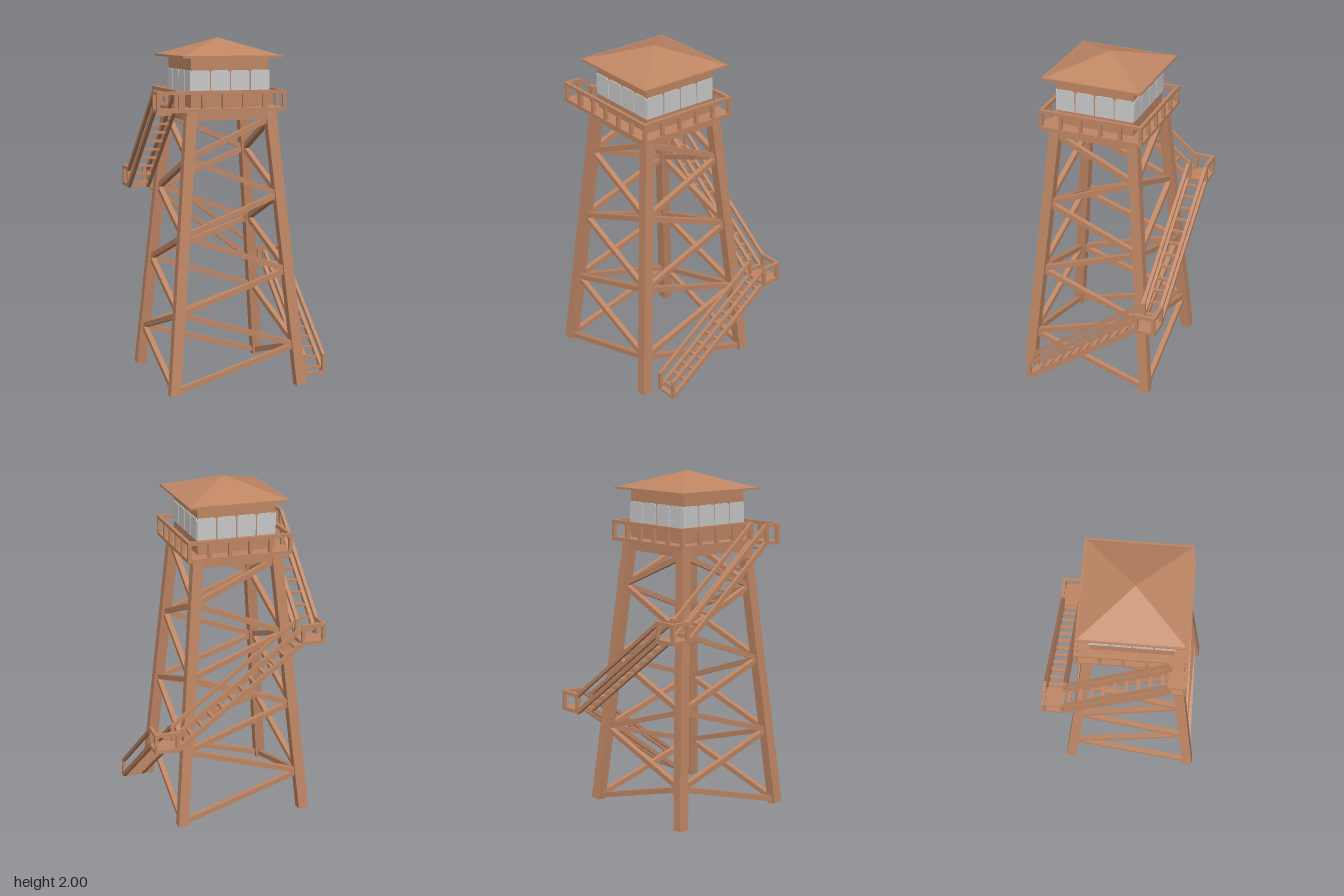
import * as THREE from 'three';

export function createModel() {
  const model = new THREE.Group();
  model.name = 'lookoutTower';
  const wood = new THREE.MeshStandardMaterial({ color: 0xbf8664, flatShading: true });
  wood.name = 'wood';
  const glass = new THREE.MeshStandardMaterial({ color: 0xc9c9c9, flatShading: true });
  glass.name = 'window glass';
  const V = (x, y, z) => new THREE.Vector3(x, y, z);
  const CX = -0.06, CZ = 0.045;

  const group = (name, parent = model) => {
    const g = new THREE.Group();
    g.name = name;
    parent.add(g);
    return g;
  };
  // Box given by its minimum and maximum on each axis
  const box = (parent, name, x0, x1, y0, y1, z0, z1, mat = wood) => {
    const m = new THREE.Mesh(new THREE.BoxGeometry(x1 - x0, y1 - y0, z1 - z0), mat);
    m.position.set((x0 + x1) / 2, (y0 + y1) / 2, (z0 + z1) / 2);
    m.name = name;
    parent.add(m);
    return m;
  };
  // Straight timber between two points
  const beam = (parent, name, a, b, w, h, up = V(0, 1, 0)) => {
    const m = new THREE.Mesh(new THREE.BoxGeometry(w, h, a.distanceTo(b)), wood);
    m.up.copy(up);
    m.position.copy(a).lerp(b, 0.5);
    m.lookAt(b);
    m.name = name;
    parent.add(m);
  };

  // Four legs leaning inwards
  const frame = group('frame');
  const corners = [[-1, 1], [1, 1], [1, -1], [-1, -1]];
  const legPoint = ([sx, sz], y) => {
    const h = 0.38 - 0.145 * y / 1.59;
    return V(CX + sx * h, y, CZ + sz * h);
  };
  for (const c of corners) beam(frame, 'leg', legPoint(c, 0.003), legPoint(c, 1.588), 0.06, 0.06, V(0, 0, 1));

  // Zigzag braces: neighbouring legs alternate between even and odd nodes
  corners.forEach((c, i) => {
    const next = corners[(i + 1) % 4];
    for (let k = 0; k < 7; k++) {
      const y0 = 0.02 + k * 0.218, y1 = y0 + 0.218;
      const cIsLow = (k + i) % 2 === 0;
      beam(frame, 'brace', legPoint(cIsLow ? c : next, y0), legPoint(cIsLow ? next : c, y1), 0.03, 0.03);
    }
  });
  // Beams under the deck
  for (const s of [-1, 1]) {
    const x = CX + s * 0.236, z = CZ + s * 0.236;
    box(frame, 'deckBeam', CX - 0.265, CX + 0.265, 1.54, 1.59, z - 0.028, z + 0.028);
    box(frame, 'deckBeam', x - 0.028, x + 0.028, 1.54, 1.59, CZ - 0.208, CZ + 0.208);
  }

  // Railing with posts standing on height y
  const railing = (parent, x0, z0, x1, z1, y, bays) => {
    const a = V(x0, y + 0.09, z0), b = V(x1, y + 0.09, z1), t = 0.01;
    box(parent, 'handrail', Math.min(x0, x1) - t, Math.max(x0, x1) + t, y + 0.08, y + 0.1,
      Math.min(z0, z1) - t, Math.max(z0, z1) + t);
    for (let i = 0; i <= bays; i++) {
      const p = a.clone().lerp(b, i / bays);
      box(parent, 'railPost', p.x - t, p.x + t, y, y + 0.08, p.z - t, p.z + t);
    }
  };

  // Deck around the cabin
  const deck = group('deck');
  const L = -0.37, R = 0.25, F = 0.355, B = -0.265, e = 0.01;
  box(deck, 'deckFloor', L, R, 1.59, 1.61, B, F);
  railing(deck, L + e, F - e, R - e, F - e, 1.61, 5);
  railing(deck, R - e, F - e, R - e, B + e, 1.61, 5);
  railing(deck, R - e, B + e, L + e, B + e, 1.61, 5);
  railing(deck, L + e, B + e, L + e, 0.26, 1.61, 4);

  // Landings with rails on their two outer sides
  const landing = (x0, x1, z0, z1, floor, outX, outZ) => {
    const g = group('landing');
    box(g, 'landingFloor', x0, x1, floor - 0.02, floor, z0, z1);
    const ox = outX > 0 ? x1 - e : x0 + e, ix = outX > 0 ? x0 + e : x1 - e;
    const oz = outZ > 0 ? z1 - e : z0 + e, iz = outZ > 0 ? z0 + e : z1 - e;
    railing(g, ix, oz, ox, oz, floor, 1);
    railing(g, ox, oz, ox, iz, floor, 1);
    box(g, 'cornerPost', ix - e, ix + e, floor, floor + 0.1, iz - e, iz + e);
  };
  landing(0.365, 0.51, -0.455, -0.33, 0.565, 1, -1);
  landing(-0.51, -0.365, -0.455, -0.33, 1.12, -1, -1);
  landing(-0.51, -0.365, 0.25, 0.355, 1.61, -1, 1);

  // Stair flight: two stringers, two handrails and treads
  const stair = (a, b, side, treads) => {
    const g = group('stair');
    const up = V(0, 0.1, 0);
    for (const s of [-1, 1]) {
      const a1 = a.clone().addScaledVector(side, s), b1 = b.clone().addScaledVector(side, s);
      beam(g, 'stringer', a1, b1, 0.02, 0.026);
      beam(g, 'stairRail', a1.add(up), b1.add(up), 0.02, 0.02);
    }
    const wx = Math.max(Math.abs(side.x), 0.01), wz = Math.max(Math.abs(side.z), 0.01);
    for (let i = 0; i < treads; i++) {
      const p = a.clone().lerp(b, (i + 0.5) / treads);
      box(g, 'tread', p.x - wx, p.x + wx, p.y - 0.007, p.y + 0.007, p.z - wz, p.z + wz);
    }
    return g;
  };
  const lower = stair(V(0.437, 0.04, 0.345), V(0.437, 0.55, -0.33), V(0.06, 0, 0), 11);
  for (const x of [0.377, 0.497]) box(lower, 'footPost', x - e, x + e, 0.03, 0.145, 0.34, 0.36);
  box(lower, 'footTread', 0.367, 0.507, 0.03, 0.045, 0.335, 0.36);
  stair(V(0.375, 0.55, -0.388), V(-0.37, 1.105, -0.388), V(0, 0, 0.055), 12);
  stair(V(-0.441, 1.105, -0.335), V(-0.441, 1.6, 0.255), V(0.059, 0, 0), 9);

  // Cabin with four windows on each side
  const cabin = group('cabin');
  const H = 0.23;
  box(cabin, 'cabinWalls', CX - H, CX + H, 1.61, 1.895, CZ - H, CZ + H);
  for (let s = 0; s < 4; s++) {
    const wall = group('windowWall', cabin);
    wall.position.set(CX, 0, CZ);
    wall.rotation.y = s * Math.PI / 2;
    for (let i = 0; i < 4; i++) {
      const x = (i - 1.5) * 0.118, w = 0.055;
      const pane = new THREE.Shape();
      [[-w, 1.695], [w, 1.695], [w, 1.81], [w - 0.01, 1.82], [-w + 0.01, 1.82], [-w, 1.81]]
        .forEach(([px, py], k) => (k ? pane.lineTo(x + px, py) : pane.moveTo(x + px, py)));
      const m = new THREE.Mesh(new THREE.ExtrudeGeometry(pane, { depth: 0.006, bevelEnabled: false }), glass);
      m.position.z = H;
      m.name = 'window';
      wall.add(m);
    }
  }

  // Pyramid roof on a thin eave
  const roof = group('roof');
  box(roof, 'eave', CX - 0.295, CX + 0.295, 1.89, 1.902, CZ - 0.295, CZ + 0.295);
  const cone = new THREE.Mesh(new THREE.ConeGeometry(0.285 * Math.SQRT2, 0.098, 4), wood);
  cone.rotation.y = Math.PI / 4;
  cone.position.set(CX, 1.951, CZ);
  cone.name = 'roofPyramid';
  roof.add(cone);

  return model;
}
